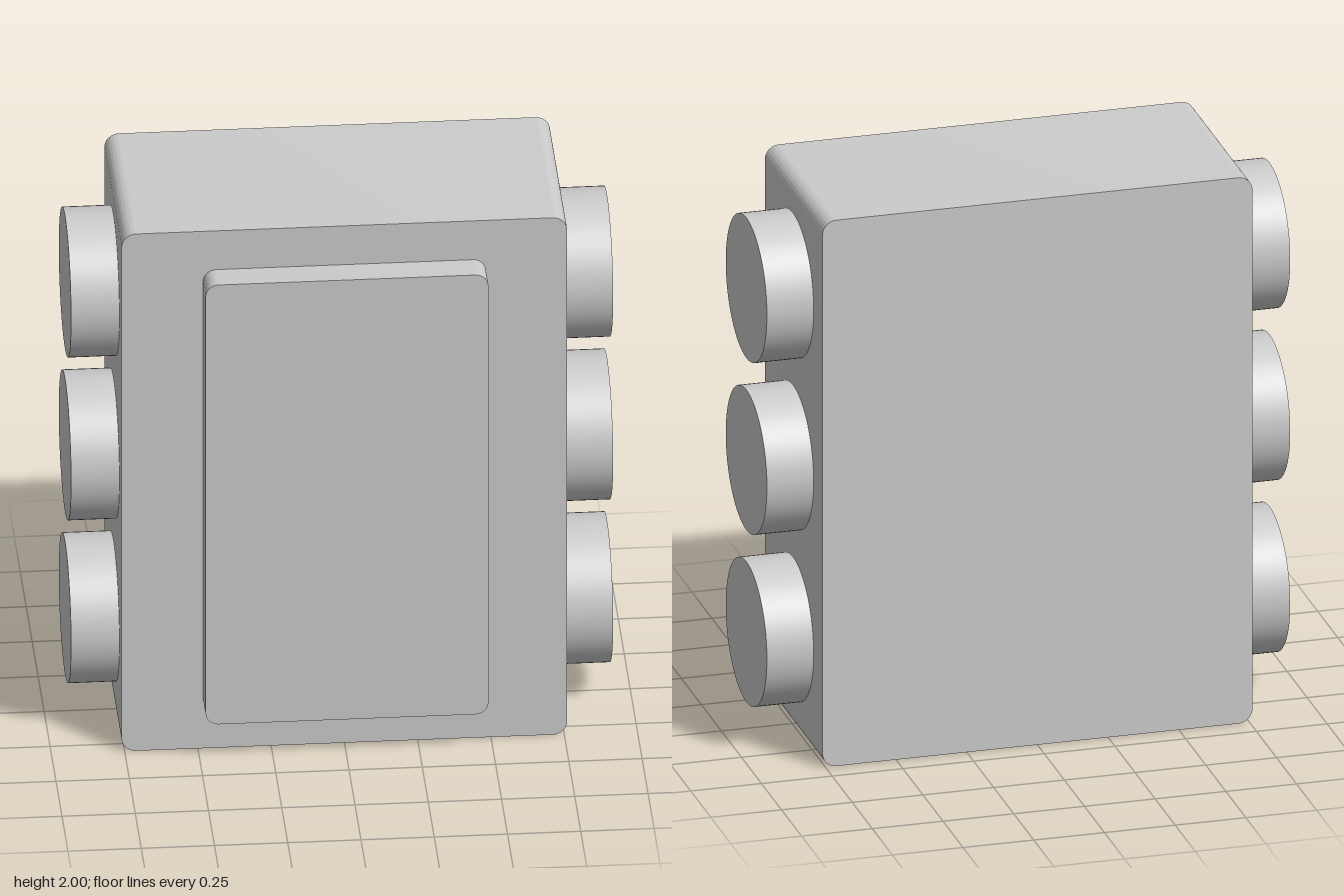
import * as THREE from 'three';
import { toCreasedNormals } from 'three/addons/utils/BufferGeometryUtils.js';

const material = new THREE.MeshStandardMaterial({ color: 0xcccccc });

// Slab with rounded vertical outline, sharp front and back edges
function roundedSlab(name, width, height, radius, zBack, zFront) {
  const x = width / 2, y = height / 2, r = radius;
  const shape = new THREE.Shape();
  shape.absarc(x - r, y - r, r, 0, Math.PI / 2);
  shape.absarc(-x + r, y - r, r, Math.PI / 2, Math.PI);
  shape.absarc(-x + r, -y + r, r, Math.PI, Math.PI * 1.5);
  shape.absarc(x - r, -y + r, r, Math.PI * 1.5, Math.PI * 2);
  shape.closePath();
  const geometry = new THREE.ExtrudeGeometry(shape, {
    depth: zFront - zBack, bevelEnabled: false, curveSegments: 10,
  });
  const mesh = new THREE.Mesh(toCreasedNormals(geometry, 0.6), material);
  mesh.name = name;
  mesh.position.set(0, 1, zBack);
  return mesh;
}

export function createModel() {
  const model = new THREE.Group();
  model.name = 'boxWithSideKnobs';

  // Main housing and raised front panel
  model.add(roundedSlab('body', 1.52, 2, 0.05, -0.415, 0.305));
  model.add(roundedSlab('frontPanel', 0.965, 1.7, 0.045, 0.295, 0.415));

  // Three round knobs on each side, seated slightly into the housing
  const knobGeometry = new THREE.CylinderGeometry(0.257, 0.257, 0.185, 64);
  knobGeometry.rotateZ(Math.PI / 2);
  for (const [side, sign] of [['left', 1], ['right', -1]]) {
    ['Lower', 'Middle', 'Upper'].forEach((level, i) => {
      const knob = new THREE.Mesh(knobGeometry, material);
      knob.name = `${side}${level}Knob`;
      knob.position.set(sign * 0.8325, 1.003 + (i - 1) * 0.63, -0.047);
      model.add(knob);
    });
  }
  return model;
}
